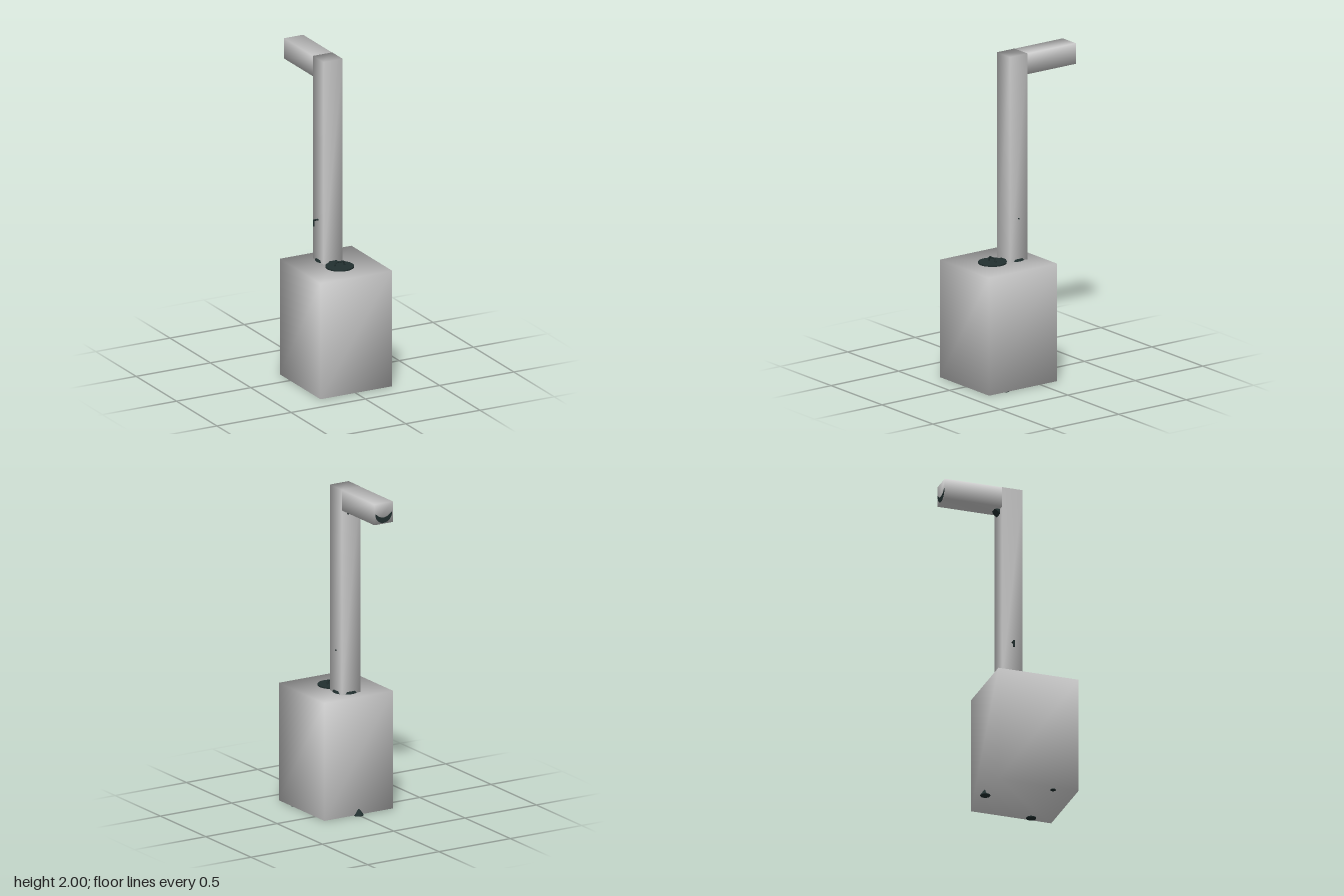
import * as THREE from 'three';
import { mergeVertices } from 'three/addons/utils/BufferGeometryUtils.js';

export function createModel() {
  const model = new THREE.Group();
  const grey = new THREE.MeshStandardMaterial({ color: 0xcccccc });
  grey.name = 'light grey casing';
  const dark = new THREE.MeshStandardMaterial({ color: 0x223030 });
  dark.name = 'dark fittings';

  const add = (name, geometry, material, x = 0, y = 0, z = 0) => {
    const mesh = new THREE.Mesh(geometry, material);
    mesh.name = name;
    mesh.position.set(x, y, z);
    model.add(mesh);
    return mesh;
  };

  // Box given by its limits, with normals shared around the corners
  const softBox = (name, x, y0, y1, z0, z1) => {
    let g = new THREE.BoxGeometry(2 * x, y1 - y0, z1 - z0);
    g.deleteAttribute('normal');
    g.deleteAttribute('uv');
    g = mergeVertices(g);
    g.computeVertexNormals();
    return add(name, g, grey, 0, (y0 + y1) / 2, (z0 + z1) / 2);
  };

  // Casing: body, column and overhanging arm
  softBox('body', 0.241, 0.004, 0.73, -0.115, 0.388);
  softBox('column', 0.065, 0.73, 2, -0.03, 0.1);
  softBox('arm', 0.0645, 1.872, 1.999, -0.389, 0.036);

  // Collar around the foot of the column
  add('columnCollar', new THREE.CylinderGeometry(0.07, 0.076, 0.014, 32), dark, 0, 0.737, 0.034);

  // Round lid and its bent handle
  add('lid', new THREE.CylinderGeometry(0.085, 0.085, 0.008, 40), dark, 0, 0.734, 0.182);
  const bentRod = (points, radius) => {
    const path = new THREE.CurvePath();
    for (let i = 1; i < points.length; i++) {
      path.add(new THREE.LineCurve3(new THREE.Vector3(...points[i - 1]), new THREE.Vector3(...points[i])));
    }
    return new THREE.TubeGeometry(path, 24, radius, 8);
  };
  add('lidHandle', bentRod([[-0.034, 0.735, 0], [-0.026, 0.762, 0], [0.026, 0.762, 0], [0.034, 0.735, 0]], 0.005),
    dark, 0, 0, 0.182);

  // Crank: axle through the column with a hanging grip
  const axle = add('crankAxle', new THREE.CylinderGeometry(0.005, 0.005, 0.162, 10), dark, -0.014, 0.993, 0.035);
  axle.rotation.z = Math.PI / 2;
  add('crankGrip', new THREE.CylinderGeometry(0.005, 0.005, 0.042, 10), dark, -0.094, 0.976, 0.035);

  // Three conical feet under the body
  for (const [x, z, r] of [[0.208, 0.25, 0.03], [-0.208, 0.24, 0.016], [0, -0.112, 0.03]]) {
    add('foot', new THREE.CylinderGeometry(0.006, r, 0.034, 20), dark, x, 0.021, z);
    add('footPad', new THREE.CylinderGeometry(r, r, 0.004, 20), dark, x, 0.002, z);
  }

  // Elbow under the joint of column and arm
  const elbow = add('elbow', new THREE.CylinderGeometry(0.032, 0.032, 0.03, 20), dark, 0, 1.866, -0.034);
  elbow.rotation.x = Math.PI / 4;

  // Crescent plate on the outer end of the arm
  const crescent = new THREE.Shape();
  crescent.absarc(0, 0, 0.058, Math.PI * 0.97, Math.PI * 2.03, false);
  crescent.quadraticCurveTo(0, -0.055, -0.058, 0.005);
  add('armEndCrescent', new THREE.ExtrudeGeometry(crescent, { depth: 0.004, bevelEnabled: false, curveSegments: 20 }),
    dark, 0, 1.935, -0.3905);

  return model;
}
